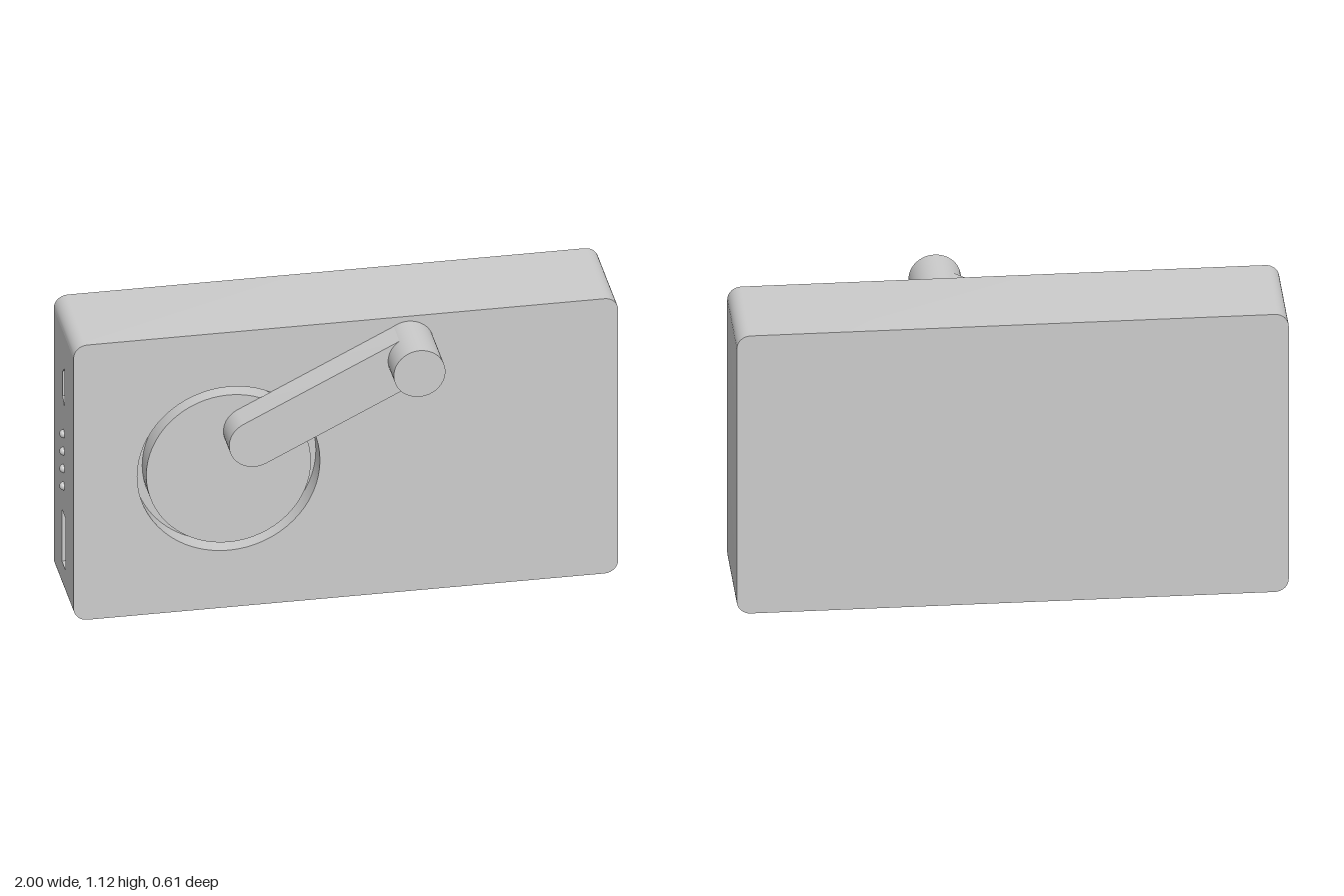
import * as THREE from 'three';
import { toCreasedNormals } from 'three/addons/utils/BufferGeometryUtils.js';

const material = new THREE.MeshStandardMaterial({ color: 0xcccccc });
const X0 = -0.985, X1 = 1, H = 1.12, ZB = -0.305, ZF = 0.08, R = 0.05;
const DIAL = [-0.42, 0.565];

function add(parent, name, geometry, x = 0, y = 0, z = 0) {
  const mesh = new THREE.Mesh(geometry, material);
  mesh.name = name;
  mesh.position.set(x, y, z);
  parent.add(mesh);
  return mesh;
}

// Strip of wall along a 2D path, from z0 to z1; a counterclockwise path faces outward
function wall(path, z0, z1, closed = true) {
  const pos = [];
  const n = closed ? path.length : path.length - 1;
  for (let i = 0; i < n; i++) {
    const a = path[i], b = path[(i + 1) % path.length];
    pos.push(a.x, a.y, z0, b.x, b.y, z0, b.x, b.y, z1);
    pos.push(a.x, a.y, z0, b.x, b.y, z1, a.x, a.y, z1);
  }
  const g = new THREE.BufferGeometry();
  g.setAttribute('position', new THREE.Float32BufferAttribute(pos, 3));
  return toCreasedNormals(g, 0.5);
}

function arcPoints(cx, cy, r, a0, a1, n) {
  return Array.from({ length: n + 1 }, (_, i) => {
    const a = a0 + (a1 - a0) * i / n;
    return new THREE.Vector2(cx + r * Math.cos(a), cy + r * Math.sin(a));
  });
}

const circle = (r) => arcPoints(...DIAL, r, 0, Math.PI * 2, 64).slice(0, -1);
const points = (list) => list.map(([x, y]) => new THREE.Vector2(x, y));

export function createModel() {
  const model = new THREE.Group();
  const body = new THREE.Group();
  body.name = 'body';
  model.add(body);

  // Rounded outline, from the bottom of the port side round to its top
  const q = Math.PI / 2;
  const outline = [
    ...arcPoints(X0 + R, R, R, 2 * q, 3 * q, 8),
    ...arcPoints(X1 - R, R, R, 3 * q, 4 * q, 8),
    ...arcPoints(X1 - R, H - R, R, 0, q, 8),
    ...arcPoints(X0 + R, H - R, R, q, 2 * q, 8),
  ];
  add(body, 'rim', wall(outline, ZB, ZF, false));
  const back = add(body, 'backPanel', new THREE.ShapeGeometry(
    new THREE.Shape(outline.map((p) => new THREE.Vector2(-p.x, p.y)).reverse())), 0, 0, ZB);
  back.rotation.y = Math.PI;
  const front = new THREE.Shape(outline);
  const outer = circle(0.333), inner = circle(0.3);
  front.holes.push(new THREE.Path(outer));
  add(body, 'frontPanel', new THREE.ShapeGeometry(front), 0, 0, ZF);

  // Round dial, set flush inside a groove
  const grooveZ = ZF - 0.08;
  add(body, 'grooveWall', wall([...outer].reverse(), grooveZ, ZF));
  const floor = new THREE.Shape(outer);
  floor.holes.push(new THREE.Path(inner));
  add(body, 'grooveFloor', new THREE.ShapeGeometry(floor), 0, 0, grooveZ);
  add(model, 'dialWall', wall(inner, grooveZ, ZF));
  add(model, 'dialFace', new THREE.ShapeGeometry(new THREE.Shape(inner)), 0, 0, ZF);

  // Port side: in this group x runs along the model's z and z points out
  const side = new THREE.Group();
  side.name = 'portSide';
  side.rotation.y = -Math.PI / 2;
  side.position.x = X0;
  body.add(side);
  const mid = (ZB + ZF) / 2;
  const ports = {
    smallPort: points([[mid - 0.02, 0.806], [mid + 0.02, 0.776], [mid + 0.02, 0.936], [mid - 0.02, 0.906]]),
    largePort: points([[mid - 0.035, 0.123], [mid + 0.035, 0.123], [mid + 0.035, 0.335], [mid - 0.035, 0.335]]),
  };
  const panel = new THREE.Shape(points([[ZB, R], [ZF, R], [ZF, H - R], [ZB, H - R]]));
  for (const [name, path] of Object.entries(ports)) {
    panel.holes.push(new THREE.Path(path));
    add(side, name + 'Wall', wall([...path].reverse(), -0.1, 0));
    add(side, name + 'Floor', new THREE.ShapeGeometry(new THREE.Shape(path)), 0, 0, -0.1);
  }
  add(side, 'portPanel', new THREE.ShapeGeometry(panel));

  // Row of indicator lights
  for (let i = 0; i < 4; i++) {
    add(side, 'indicatorLight', new THREE.SphereGeometry(0.016, 20, 14), mid, 0.448 + i * 0.071, 0);
  }

  // Crank arm with rounded ends, and its handle
  const a = new THREE.Vector2(-0.346, 0.718), b = new THREE.Vector2(0.234, 1.006), r = 0.093;
  const tilt = Math.atan2(b.y - a.y, b.x - a.x);
  const armShape = new THREE.Shape([
    ...arcPoints(a.x, a.y, r, tilt + q, tilt + 3 * q, 24),
    ...arcPoints(b.x, b.y, r, tilt - q, tilt + q, 24),
  ]);
  const arm = new THREE.ExtrudeGeometry(armShape, { depth: 0.113, bevelEnabled: false });
  add(model, 'crankArm', toCreasedNormals(arm, 0.5), 0, 0, ZF);
  const handle = add(model, 'crankHandle',
    new THREE.CylinderGeometry(0.094, 0.094, 0.225, 48), b.x, b.y, ZF + 0.1125);
  handle.rotation.x = q;

  return model;
}
